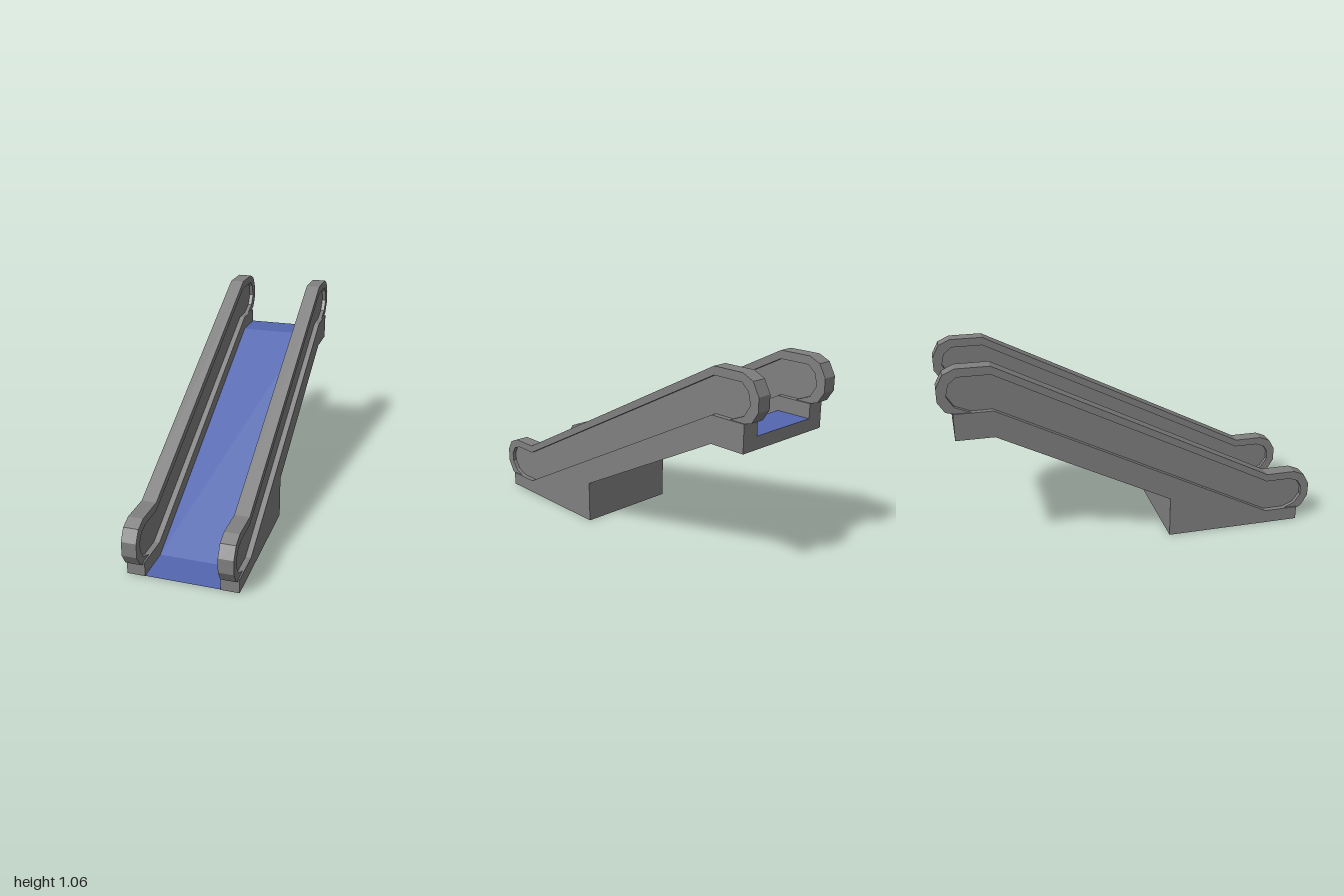
import * as THREE from 'three';

const HALF = 0.285, INNER = 0.192, RAIL_X = 0.239;

// All profiles are [z, y] points
const bodyTop = [[0.935, 0], [0.935, 0.075], [0.745, 0.075], [-0.735, 0.835], [-0.93, 0.835], [-0.93, 0.76]];
const bodyUnder = [[-0.93, 0.76], [-0.93, 0.695], [-0.735, 0.695], [0.18, 0.225], [0.18, 0]];
const treadLine = [[0.935, 0.002], [0.742, 0.002], [-0.74, 0.76], [-0.93, 0.76]];
const railOuter = [
  [0.93, 0.06], [0.965, 0.08], [1, 0.14], [1, 0.215], [0.965, 0.275], [0.905, 0.3], [0.745, 0.3],
  [-0.735, 1.063], [-0.905, 1.063], [-0.965, 1.035], [-1, 0.97], [-1, 0.9], [-0.965, 0.845], [-0.93, 0.835],
];
const railInner = [
  [0.86, 0.075], [0.92, 0.1], [0.955, 0.15], [0.955, 0.2], [0.93, 0.24], [0.88, 0.258], [0.745, 0.258],
  [-0.735, 1.02], [-0.9, 1.02], [-0.94, 0.985], [-0.955, 0.925], [-0.92, 0.868], [-0.84, 0.835],
];

const toShape = (pts) => new THREE.Shape(pts.map(([z, y]) => new THREE.Vector2(z, y)));

// Flat-sided sheet following a profile, from x0 to x1
function strip(pts, x0, x1) {
  const v = [];
  for (let i = 0; i < pts.length - 1; i++) {
    const [z0, y0] = pts[i], [z1, y1] = pts[i + 1];
    const a = [x0, y0, z0], b = [x1, y0, z0], c = [x1, y1, z1], d = [x0, y1, z1];
    v.push(...a, ...b, ...c, ...a, ...c, ...d);
  }
  const g = new THREE.BufferGeometry();
  g.setAttribute('position', new THREE.Float32BufferAttribute(v, 3));
  g.computeVertexNormals();
  return g;
}

// Upright sheet at a given x
const wall = (pts, x) => new THREE.ShapeGeometry(toShape(pts)).rotateY(-Math.PI / 2).translate(x, 0, 0);

// Solid of a given thickness centred on x
const slab = (pts, x, t) => new THREE.ExtrudeGeometry(toShape(pts), { depth: t, bevelEnabled: false })
  .translate(0, 0, -t / 2).rotateY(-Math.PI / 2).translate(x, 0, 0);

export function createModel() {
  const grey = new THREE.MeshStandardMaterial({ color: 0x808080, side: THREE.DoubleSide });
  grey.name = 'grey';
  const blue = new THREE.MeshStandardMaterial({ color: 0x5468b0, side: THREE.DoubleSide });
  blue.name = 'blue';

  const group = new THREE.Group();
  group.name = 'escalator';
  const add = (name, geometry, material, parent = group) => {
    const m = new THREE.Mesh(geometry, material);
    m.name = name;
    parent.add(m);
  };

  // Moving ramp and the closed underside
  add('ramp', strip(treadLine, -INNER, INNER), blue);
  add('underside', strip(bodyUnder, -HALF, HALF), grey);

  for (const s of [1, -1]) {
    const side = new THREE.Group();
    side.name = s > 0 ? 'leftSide' : 'rightSide';
    group.add(side);

    // Hollow truss casing, open at the bottom
    add('outerWall', wall([...bodyTop, ...bodyUnder.slice(1)], s * HALF), grey, side);
    add('innerWall', wall([...bodyTop, ...treadLine.slice(1, 3).reverse()], s * INNER), grey, side);
    const [x0, x1] = s > 0 ? [INNER, HALF] : [-HALF, -INNER];
    add('casingTop', strip(bodyTop, x0, x1), grey, side);

    // Balustrade panel recessed inside the handrail loop
    add('handrail', slab([...railOuter, ...[...railInner].reverse()], s * RAIL_X, 0.077), grey, side);
    add('balustradePanel', slab([[0.745, 0.075], ...railInner, [-0.735, 0.835]], s * RAIL_X, 0.035), grey, side);
  }
  return group;
}
